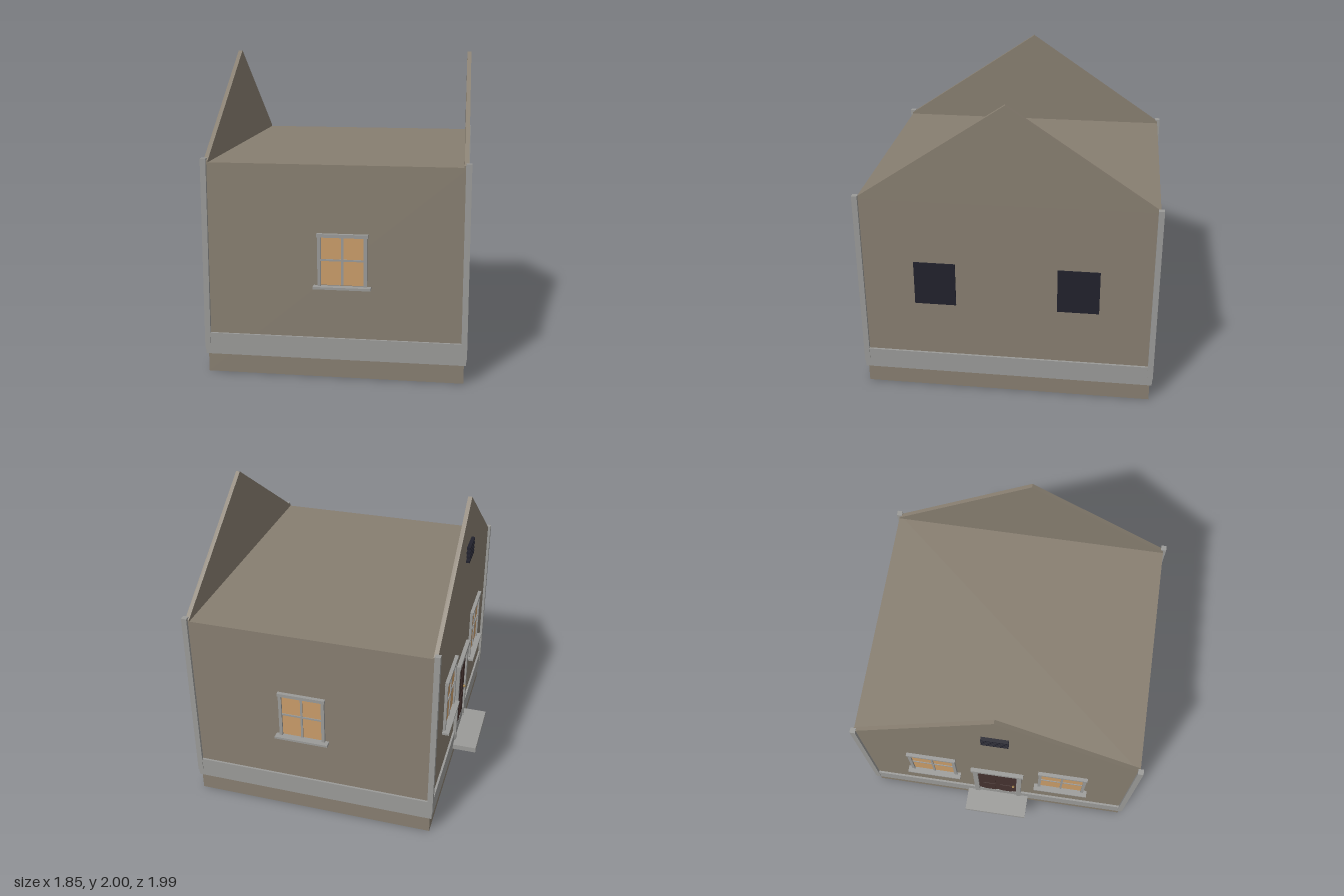
import * as THREE from 'three';

const mat = (name, color) => {
  const m = new THREE.MeshStandardMaterial({ color });
  m.name = name;
  return m;
};

export function createModel() {
  const wall = mat('wall plaster', 0x877e70);
  const trim = mat('grey trim', 0x9a9a98);
  const lit = mat('lit glass', 0xc99c69);
  const dark = mat('dark glass', 0x21212c);
  const wood = mat('door wood', 0x45322f);
  const brass = mat('brass', 0x9a7b45);

  const W = 0.809, D = 0.941, EAVE = 1.355; // half width, half depth, eave height

  const house = new THREE.Group();
  house.name = 'house';

  // Box given by its limits on each axis
  const box = (parent, name, m, x0, x1, y0, y1, z0, z1) => {
    const mesh = new THREE.Mesh(new THREE.BoxGeometry(x1 - x0, y1 - y0, z1 - z0), m);
    mesh.position.set((x0 + x1) / 2, (y0 + y1) / 2, (z0 + z1) / 2);
    mesh.name = name;
    parent.add(mesh);
    return mesh;
  };
  // Group on a wall, whose own +z points out of that wall
  const mount = (name, x, z, turn) => {
    const g = new THREE.Group();
    g.name = name;
    g.position.set(x, 0, z);
    g.rotation.y = turn;
    house.add(g);
    return g;
  };

  // Body with flat top
  box(house, 'walls', wall, -W, W, 0, EAVE, -D, D);

  // Thin gable walls standing on both ends
  const tri = new THREE.Shape();
  tri.moveTo(-D, EAVE);
  tri.lineTo(D, EAVE);
  tri.lineTo(D, EAVE + 0.01);
  tri.lineTo(0, 2);
  tri.lineTo(-D, EAVE + 0.01);
  for (const x of [-W, W - 0.027]) {
    const gable = new THREE.Mesh(
      new THREE.ExtrudeGeometry(tri, { depth: 0.027, bevelEnabled: false }), wall);
    gable.rotation.y = Math.PI / 2;
    gable.position.x = x;
    gable.name = 'gable';
    house.add(gable);
  }

  // Plinth band around the walls
  const b = 0.014;
  for (const s of [-1, 1]) {
    const front = box(house, 'plinthBand', trim, -W - b, W + b, 0.122, 0.26, 0, b);
    front.position.z = s * (D + b / 2);
    const side = box(house, 'plinthBand', trim, 0, b, 0.122, 0.26, -D, D);
    side.position.x = s * (W + b / 2);
  }

  // Corner posts
  for (const sx of [-1, 1]) for (const sz of [-1, 1]) {
    const post = box(house, 'cornerPost', trim, -0.018, 0.018, 0.165, 1.38, -0.018, 0.018);
    post.position.x = sx * W;
    post.position.z = sz * D;
  }

  // Framed window with four panes and a sill; w and h are the glass size
  const addWindow = (x, z, turn, w, h) => {
    const g = mount('window', x, z, turn);
    const a = w / 2, y0 = 0.605, y1 = y0 + h, f = 0.021;
    box(g, 'glass', lit, -a, a, y0, y1, 0, 0.006);
    for (const s of [-1, 1]) {
      const jamb = box(g, 'jamb', trim, 0, f, y0 - 0.005, y1, 0, 0.018);
      jamb.position.x = s * (a + f / 2);
    }
    box(g, 'head', trim, -a - 0.026, a + 0.026, y1, y1 + 0.022, 0, 0.024);
    box(g, 'verticalBar', trim, -0.007, 0.007, y0, y1, 0, 0.013);
    const mid = (y0 + y1) / 2 + 0.007;
    box(g, 'crossBar', trim, -a, a, mid - 0.006, mid + 0.006, 0, 0.012);
    box(g, 'sill', trim, -a - 0.046, a + 0.046, 0.585, 0.6, 0, 0.047);
  };
  addWindow(0.053, D, 0, 0.266, 0.303);
  addWindow(0.053, -D, Math.PI, 0.266, 0.303);
  for (const z of [-0.46, 0.46]) {
    addWindow(-W, z, -Math.PI / 2, 0.29, 0.355);
    // Plain dark windows on the opposite end
    const g = mount('darkWindow', W, z, Math.PI / 2);
    box(g, 'darkPane', dark, -0.134, 0.134, 0.635, 0.933, 0, 0.007);
  }

  // Door with surround, panels, knob and step
  const door = mount('door', -W, 0, -Math.PI / 2);
  box(door, 'doorLeaf', wood, -0.14, 0.14, 0.18, 0.785, 0, 0.009);
  for (const s of [-1, 1]) {
    const jamb = box(door, 'doorJamb', trim, 0, 0.034, 0.18, 0.785, 0, 0.022);
    jamb.position.x = s * 0.157;
    for (const [y0, y1] of [[0.23, 0.44], [0.5, 0.74]]) {
      const panel = box(door, 'doorPanel', wood, 0, 0.09, y0, y1, 0.009, 0.013);
      panel.position.x = s * 0.062;
    }
  }
  box(door, 'doorHead', trim, -0.187, 0.187, 0.785, 0.818, 0, 0.028);
  const knob = new THREE.Mesh(new THREE.SphereGeometry(0.01, 12, 8), brass);
  knob.position.set(0.117, 0.46, 0.018);
  knob.name = 'doorKnob';
  door.add(knob);
  box(door, 'doorStep', trim, -0.228, 0.228, 0.143, 0.18, 0, 0.178);

  // Slatted vent high in the gable
  const vent = mount('vent', -W, 0, -Math.PI / 2);
  for (let i = 0; i < 4; i++) {
    const y = 1.58 + i * 0.031;
    box(vent, 'ventSlat', dark, -0.088, 0.088, y - 0.008, y + 0.008, 0, 0.024);
  }

  // The whole house stands slightly turned
  house.rotation.y = -0.0303;
  house.position.set(0.067, 0, -0.003);
  const model = new THREE.Group();
  model.name = 'model';
  model.add(house);
  return model;
}
